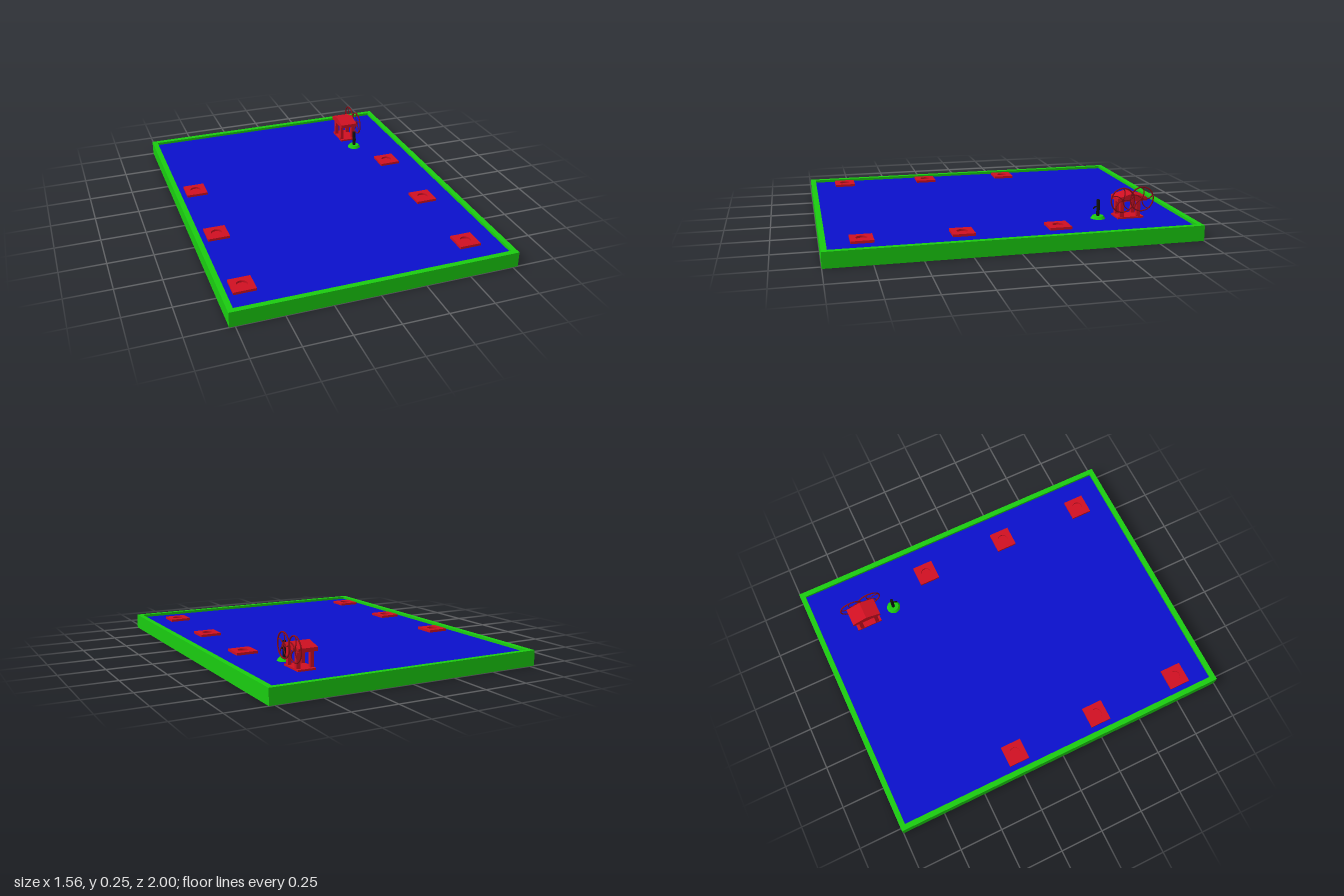
import * as THREE from 'three';

const paint = (color, extra = {}) => new THREE.MeshStandardMaterial({ color, ...extra });
const green = paint(0x1acc10, { side: THREE.DoubleSide });
const blue = paint(0x0a10cc, { side: THREE.DoubleSide });
const red = paint(0xd01022);
const darkRed = paint(0x8c0c18);
const black = paint(0x101010);

const FLOOR = 0.07, RIM = 0.085;

function add(parent, name, geometry, material, x = 0, y = 0, z = 0) {
  const mesh = new THREE.Mesh(geometry, material);
  mesh.name = name;
  mesh.position.set(x, y, z);
  parent.add(mesh);
  return mesh;
}

function box(parent, name, material, x0, x1, y0, y1, z0, z1) {
  return add(parent, name, new THREE.BoxGeometry(x1 - x0, y1 - y0, z1 - z0), material,
    (x0 + x1) / 2, (y0 + y1) / 2, (z0 + z1) / 2);
}

function rectangle(Type, hx, hz) {
  return new Type([[-hx, -hz], [hx, -hz], [hx, hz], [-hx, hz]].map(p => new THREE.Vector2(...p)));
}

// Four thin upright panels around a rectangle
function wallRing(parent, name, hx, hz, y0, y1) {
  for (let i = 0; i < 4; i++) {
    const a = i * Math.PI / 2;
    const side = i % 2 === 1;
    const panel = add(parent, name, new THREE.PlaneGeometry(2 * (side ? hz : hx), y1 - y0), green,
      Math.sin(a) * hx, (y0 + y1) / 2, Math.cos(a) * hz);
    panel.rotation.y = a;
  }
}

// Shallow tray, open underneath
function makeTray() {
  const tray = new THREE.Group();
  tray.name = 'tray';
  wallRing(tray, 'outerWall', 0.78, 1, 0, RIM);
  wallRing(tray, 'innerLip', 0.75, 0.97, FLOOR, RIM);
  const rim = rectangle(THREE.Shape, 0.78, 1);
  rim.holes.push(rectangle(THREE.Path, 0.75, 0.97));
  add(tray, 'rim', new THREE.ShapeGeometry(rim), green, 0, RIM, 0).rotation.x = -Math.PI / 2;
  add(tray, 'floor', new THREE.PlaneGeometry(1.5, 1.94), blue, 0, FLOOR, 0).rotation.x = -Math.PI / 2;
  return tray;
}

// Square block with a round socket
function makeSocket(x, z) {
  const socket = new THREE.Group();
  socket.name = 'socketBlock';
  socket.position.set(x, FLOOR, z);
  const shape = rectangle(THREE.Shape, 0.06, 0.06);
  shape.holes.push(new THREE.Path().absarc(0, 0, 0.03, 0, Math.PI * 2, true));
  add(socket, 'block', new THREE.ExtrudeGeometry(shape, { depth: 0.014, bevelEnabled: false, curveSegments: 16 }), red)
    .rotation.x = -Math.PI / 2;
  add(socket, 'socketBottom', new THREE.CylinderGeometry(0.03, 0.03, 0.003, 32), red, 0, 0.0015, 0);
  return socket;
}

// Standpipe with a small spout on a round foot
function makeTap() {
  const tap = new THREE.Group();
  tap.name = 'tap';
  tap.position.set(0.463, FLOOR, -0.517);
  add(tap, 'foot', new THREE.CylinderGeometry(0.03, 0.04, 0.015, 24), green, 0, 0.0075, 0);
  add(tap, 'pipe', new THREE.CylinderGeometry(0.0095, 0.0095, 0.1, 16), black, 0, 0.055, 0);
  const path = new THREE.QuadraticBezierCurve3(
    new THREE.Vector3(0, 0.066, 0.005), new THREE.Vector3(0, 0.068, 0.025), new THREE.Vector3(0, 0.054, 0.027));
  add(tap, 'spout', new THREE.TubeGeometry(path, 8, 0.004, 8), black);
  return tap;
}

// Hand wheel with curved spokes, axle along x
function makeWheel(x, z) {
  const wheel = new THREE.Group();
  wheel.name = 'handWheel';
  wheel.position.set(x, 0.18, z);
  wheel.rotation.y = Math.PI / 2;
  add(wheel, 'wheelRing', new THREE.TorusGeometry(0.067, 0.004, 8, 40), darkRed);
  add(wheel, 'hub', new THREE.CylinderGeometry(0.009, 0.009, 0.012, 16), darkRed).rotation.x = Math.PI / 2;
  const curve = new THREE.QuadraticBezierCurve3(
    new THREE.Vector3(0, 0, 0), new THREE.Vector3(0.04, -0.022, 0), new THREE.Vector3(0.066, 0, 0));
  for (let i = 0; i < 5; i++) {
    add(wheel, 'spoke', new THREE.TubeGeometry(curve, 10, 0.003, 6), darkRed)
      .rotation.z = i * Math.PI * 2 / 5 + 0.3;
  }
  return wheel;
}

// Gabled housing on four legs with two wheels on its left side
function makeMachine() {
  const machine = new THREE.Group();
  machine.name = 'machine';
  box(machine, 'basePlate', red, 0.413, 0.513, FLOOR, 0.08, -0.765, -0.615);
  for (const x of [0.424, 0.5]) for (const z of [-0.64, -0.735]) {
    box(machine, 'leg', red, x - 0.01, x + 0.01, FLOOR, 0.18, z - 0.011, z + 0.011);
  }
  const profile = new THREE.Shape([
    [-0.085, 0.168], [0.085, 0.168], [0.085, 0.188], [0, 0.211], [-0.085, 0.188],
  ].map(p => new THREE.Vector2(...p)));
  add(machine, 'housing', new THREE.ExtrudeGeometry(profile, { depth: 0.105, bevelEnabled: false }), red,
    0.411, 0, -0.695).rotation.y = Math.PI / 2;
  for (const [x, z] of [[0.526, -0.635], [0.52, -0.748]]) {
    machine.add(makeWheel(x, z));
    add(machine, 'axle', new THREE.CylinderGeometry(0.006, 0.006, 0.025, 12), darkRed, 0.514, 0.18, z)
      .rotation.z = Math.PI / 2;
  }
  return machine;
}

export function createModel() {
  const model = new THREE.Group();
  model.name = 'model';
  model.add(makeTray(), makeTap(), makeMachine());
  for (const x of [-0.657, 0.578]) for (const z of [-0.25, 0.27, 0.79]) model.add(makeSocket(x, z));
  return model;
}
